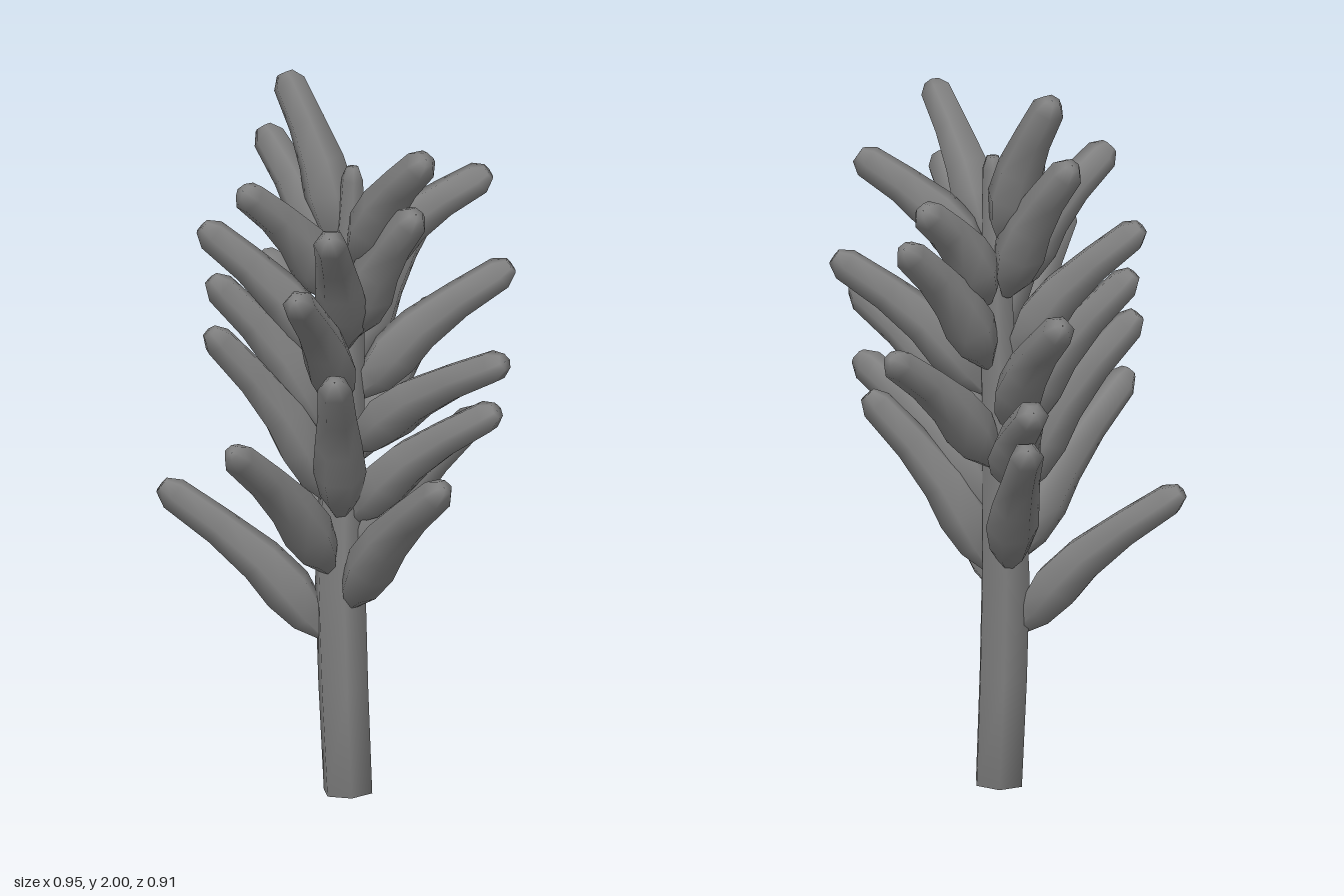
import * as THREE from 'three';

const SIDES = 6;
const material = new THREE.MeshStandardMaterial({ color: 0x808080 });

// Sweep a six-sided section along a curve; rings = [t, radius], closed by a tiny last ring.
function sweep(curve, rings, side) {
  const pos = [], index = [];
  rings.forEach(([t, r]) => {
    const c = curve.getPoint(t), dir = curve.getTangent(t);
    const s = side.clone().addScaledVector(dir, -side.dot(dir)).normalize();
    const n = new THREE.Vector3().crossVectors(dir, s);
    for (let i = 0; i < SIDES; i++) {
      const a = (i / SIDES) * Math.PI * 2;
      const p = c.clone().addScaledVector(s, Math.cos(a) * r).addScaledVector(n, Math.sin(a) * r);
      pos.push(p.x, p.y, p.z);
    }
  });
  for (let j = 0; j < rings.length - 1; j++) {
    for (let i = 0; i < SIDES; i++) {
      const a = j * SIDES + i, b = j * SIDES + (i + 1) % SIDES;
      index.push(a, b, b + SIDES, a, b + SIDES, a + SIDES);
    }
  }
  const geometry = new THREE.BufferGeometry();
  geometry.setAttribute('position', new THREE.Float32BufferAttribute(pos, 3));
  geometry.setIndex(index);
  geometry.computeVertexNormals();
  return geometry;
}

// Leaves from the lowest to the highest: tip (x, y, z) and the rise from base to tip
const LEAVES = [
  [-0.37, 0.86, 0.345, 0.42], [0.455, 1.0, 0.015, 0.46], [-0.425, 1.06, -0.175, 0.43],
  [0.06, 1.085, 0.44, 0.45], [0.21, 1.09, -0.30, 0.48], [-0.38, 1.15, -0.13, 0.29],
  [0.375, 1.15, -0.23, 0.37], [0.22, 1.28, 0.21, 0.49], [-0.14, 1.29, -0.44, 0.37],
  [0.46, 1.32, -0.19, 0.34], [-0.215, 1.33, 0.30, 0.50], [-0.465, 1.41, -0.09, 0.38],
  [-0.26, 1.46, 0.26, 0.46], [0.22, 1.49, -0.40, 0.37], [0.19, 1.53, 0.32, 0.42],
  [-0.13, 1.59, -0.39, 0.39], [-0.30, 1.60, 0.26, 0.40], [-0.13, 1.69, -0.33, 0.31],
  [0.21, 1.69, 0.22, 0.42], [0.26, 1.72, -0.04, 0.41], [0.21, 1.77, -0.33, 0.31],
  [-0.07, 1.77, 0.30, 0.37], [-0.35, 1.82, 0.01, 0.42], [0.33, 1.90, -0.02, 0.39],
  [-0.28, 1.99, -0.01, 0.45],
];
const LEAF_RINGS = [[0, 0.014], [0.14, 0.055], [0.31, 0.073], [0.5, 0.065], [0.72, 0.053], [0.94, 0.047], [1, 0.024], [1, 0.001]];
const STEM_RINGS = [[0, 0.001], [0, 0.071], [0.17, 0.073], [0.33, 0.074], [0.5, 0.065], [0.67, 0.055], [0.85, 0.043], [0.98, 0.032], [1, 0.018], [1, 0.001]];

export function createModel() {
  const group = new THREE.Group();

  // Gently leaning, tapering stem
  const stemCurve = new THREE.CatmullRomCurve3([
    new THREE.Vector3(-0.001, 0.005, -0.01), new THREE.Vector3(-0.03, 0.6, -0.006),
    new THREE.Vector3(-0.05, 1.2, -0.04), new THREE.Vector3(-0.025, 1.78, -0.045),
  ]);
  const stem = new THREE.Mesh(sweep(stemCurve, STEM_RINGS, new THREE.Vector3(0, 0, 1)), material);
  stem.name = 'stem';
  group.add(stem);

  // Plump leaves spiralling up the stem
  const leaves = new THREE.Group();
  leaves.name = 'leaves';
  LEAVES.forEach(([x, y, z, rise]) => {
    const tip = new THREE.Vector3(x, y, z);
    const axis = stemCurve.getPoint((y - 0.4) / 1.78);
    const out = new THREE.Vector3(x - axis.x, 0, z - axis.z).normalize();
    const base = axis.clone().addScaledVector(out, 0.04);
    base.y = y - rise;
    // The leaf rises steeply, then bends outwards
    const bend = base.clone().lerp(tip, 0.45).addScaledVector(out, -0.025);
    bend.y += 0.025;
    const curve = new THREE.CatmullRomCurve3([base, bend, tip]);
    const side = new THREE.Vector3(out.z, 0, -out.x);
    const leaf = new THREE.Mesh(sweep(curve, LEAF_RINGS, side), material);
    leaf.name = 'leaf';
    leaves.add(leaf);
  });
  group.add(leaves);
  return group;
}
